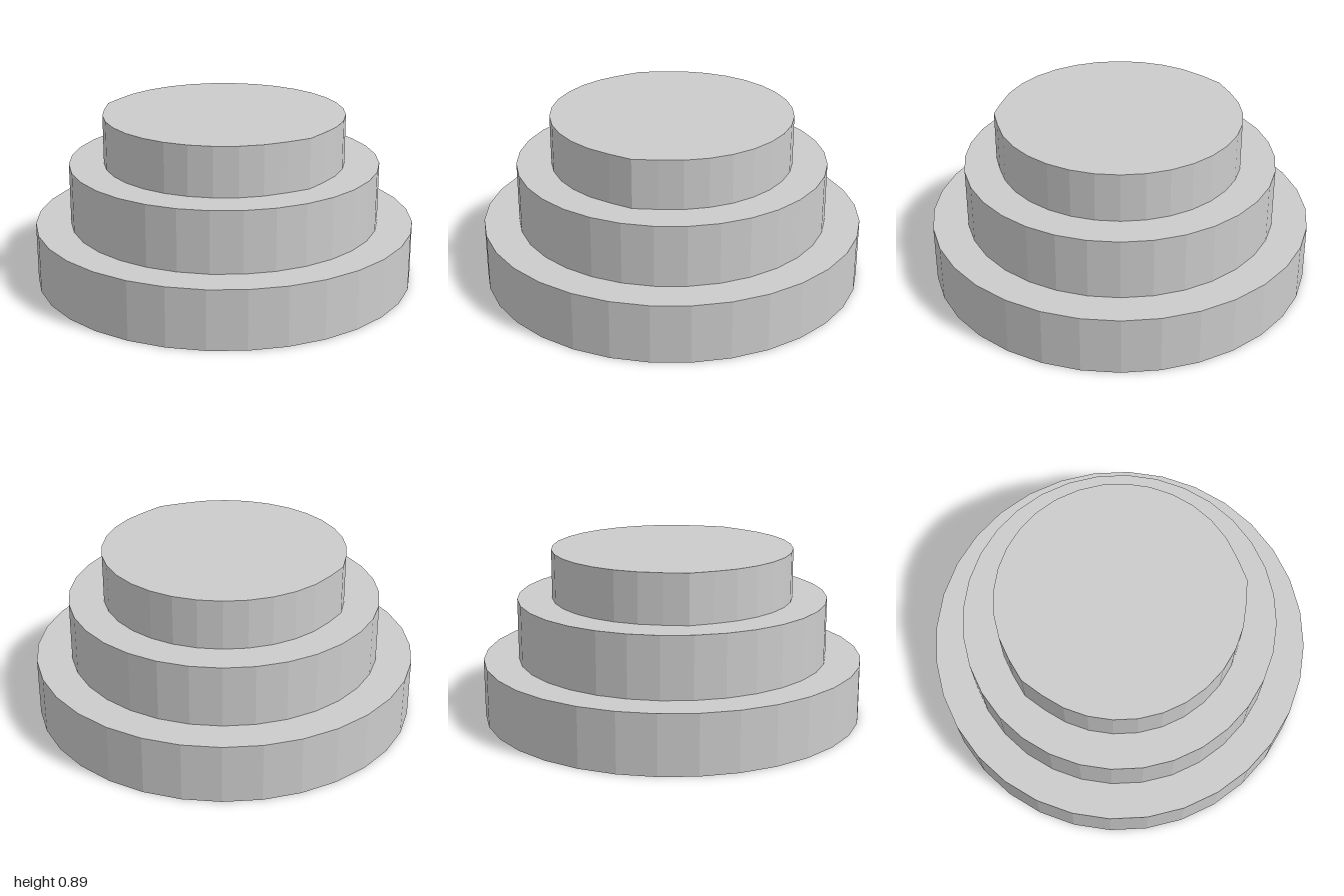
import * as THREE from 'three';

const SIDES = 32;
const material = new THREE.MeshStandardMaterial({ color: 0xcccccc, flatShading: true });

// One round step of the plinth, standing on height y0
function tier(name, radius, y0, y1) {
  const geometry = new THREE.CylinderGeometry(radius, radius, y1 - y0, SIDES);
  const mesh = new THREE.Mesh(geometry, material);
  mesh.name = name;
  mesh.position.y = (y0 + y1) / 2;
  return mesh;
}

// Push out the rim corner nearest to (x, z) by a factor
function nudgeCorner(geometry, x, z, factor) {
  const p = geometry.attributes.position;
  for (let i = 0; i < p.count; i++) {
    if (Math.hypot(p.getX(i) - x, p.getZ(i) - z) < 0.04) {
      p.setX(i, p.getX(i) * factor);
      p.setZ(i, p.getZ(i) * factor);
    }
  }
  geometry.computeVertexNormals();
}

export function createModel() {
  const model = new THREE.Group();
  model.name = 'steppedPlinth';

  const bottom = tier('bottomTier', 1, 0, 0.31);
  const middle = tier('middleTier', 0.815, 0.31, 0.63);
  const top = tier('topTier', 0.633, 0.63, 0.888);

  // Slightly uneven rim on the top step
  nudgeCorner(top.geometry, 0, 0.633, 1.025);
  nudgeCorner(top.geometry, -0.352, -0.526, 1.02);

  model.add(bottom, middle, top);
  return model;
}
